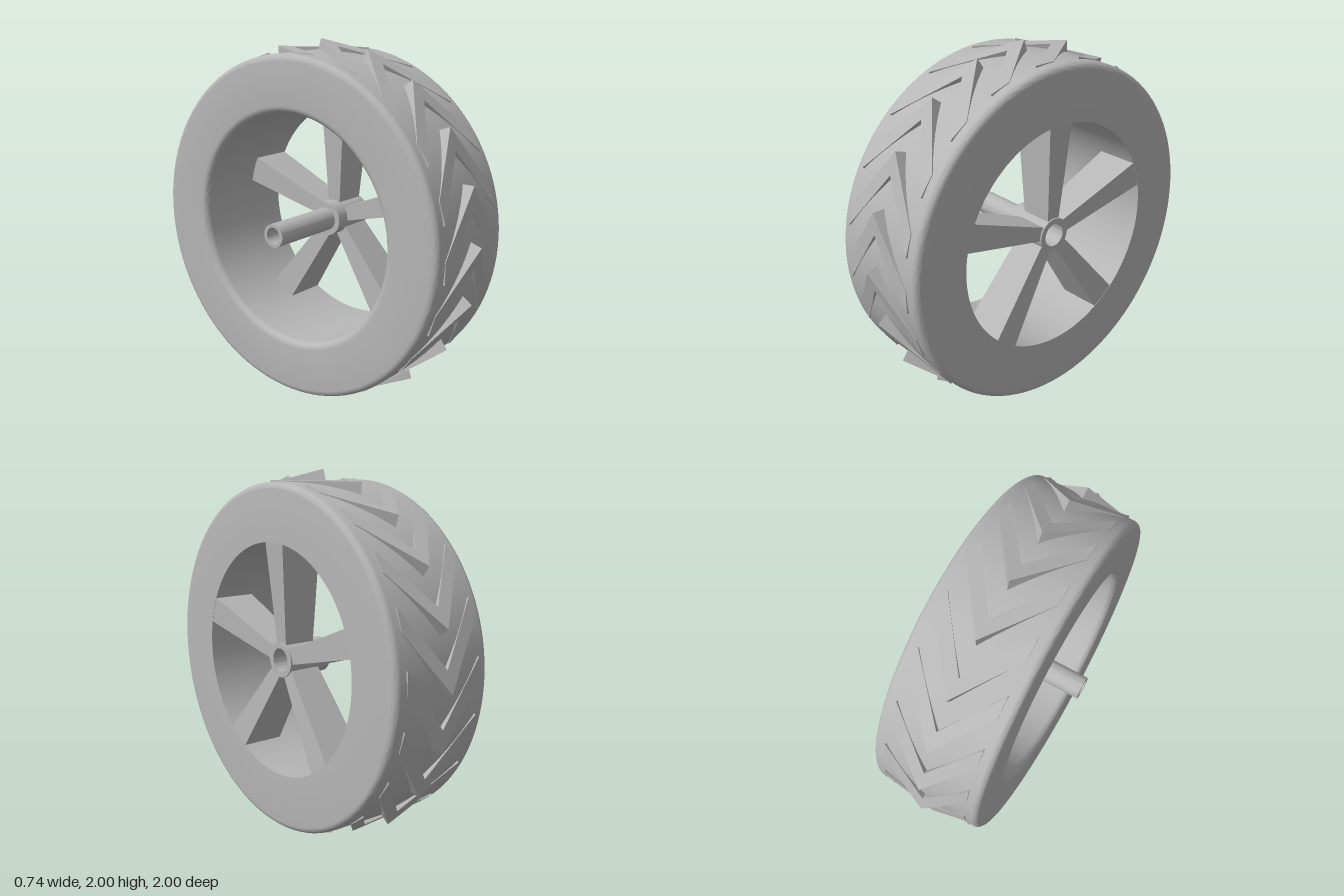
import * as THREE from 'three';
import { toCreasedNormals } from 'three/addons/utils/BufferGeometryUtils.js';

const grey = new THREE.MeshStandardMaterial({ color: 0xb6b6b6 });
grey.name = 'grey';

// Turns a closed [radius, x] profile around the x axis.
function turned(name, profile, segments) {
  const points = profile.map(([r, x]) => new THREE.Vector2(r, x));
  const geometry = new THREE.LatheGeometry(points, segments).rotateZ(-Math.PI / 2);
  const mesh = new THREE.Mesh(toCreasedNormals(geometry, 0.6), grey);
  mesh.name = name;
  return mesh;
}

// Rounded corner for a profile, from one angle to another.
function corner(r, x, radius, from, to, steps = 6) {
  return Array.from({ length: steps + 1 }, (_, i) => {
    const a = from + ((to - from) * i) / steps;
    return [r + radius * Math.cos(a), x + radius * Math.sin(a)];
  });
}

// Spoke: a box narrowed in width and depth toward the hub.
function spokeGeometry() {
  const geometry = new THREE.BoxGeometry(1, 1, 1);
  const p = geometry.attributes.position;
  for (let i = 0; i < p.count; i++) {
    const outer = p.getY(i) > 0;
    const front = p.getX(i) > 0;
    const x = front ? (outer ? 0.369 : 0.325) : (outer ? 0.125 : 0.145);
    p.setXYZ(i, x, outer ? 0.638 : 0.08, Math.sign(p.getZ(i)) * (outer ? 0.076 : 0.038));
  }
  const flat = geometry.toNonIndexed();
  flat.computeVertexNormals();
  return flat;
}

// Tread block: a flat chevron whose tip stands clear of the tyre.
function chevronGeometry() {
  const tip = 0.335, reach = 0.24, drop = 0.33, band = 0.12;
  const shape = new THREE.Shape();
  shape.moveTo(0, tip);
  shape.lineTo(-reach, tip - drop);
  shape.lineTo(-reach, tip - drop - band);
  shape.lineTo(0, tip - band);
  shape.lineTo(reach, tip - drop - band);
  shape.lineTo(reach, tip - drop);
  shape.closePath();
  const geometry = new THREE.ExtrudeGeometry(shape, { depth: 0.09, bevelEnabled: false });
  return geometry.translate(0.06, 0, 0.852);
}

// Places copies of one geometry evenly around the x axis.
function ring(name, geometry, count) {
  const group = new THREE.Group();
  group.name = name + 's';
  for (let i = 0; i < count; i++) {
    const mesh = new THREE.Mesh(geometry, grey);
    mesh.name = name;
    mesh.rotation.x = (i * Math.PI * 2) / count;
    group.add(mesh);
  }
  return group;
}

export function createModel() {
  const model = new THREE.Group();
  model.name = 'wheel';
  const wheel = new THREE.Group();
  wheel.name = 'wheelAssembly';
  wheel.position.y = 1;
  model.add(wheel);

  // Tyre with rounded shoulders and a rounded inner lip on the open side
  const c = 0.035;
  wheel.add(turned('tyre', [
    ...corner(0.67, -0.25 + 0.04, 0.04, -Math.PI, -Math.PI / 2),
    ...corner(0.938 - c, -0.25 + c, c, -Math.PI / 2, 0),
    ...corner(0.938 - c, 0.37 - c, c, 0, Math.PI / 2),
    [0.63, 0.37], [0.63, -0.21],
  ], 120));

  // Hub sleeve
  wheel.add(turned('hub', [
    [0.064, 0.07], [0.095, 0.07], [0.095, 0.335], [0.064, 0.335], [0.064, 0.07],
  ], 40));

  // Axle with a bored end
  wheel.add(turned('axle', [
    [0, -0.22], [0.045, -0.22], [0.045, -0.37], [0.064, -0.37], [0.064, 0.2], [0, 0.2],
  ], 40));

  wheel.add(ring('spoke', spokeGeometry(), 5));
  wheel.add(ring('treadBlock', chevronGeometry(), 20));
  return model;
}
